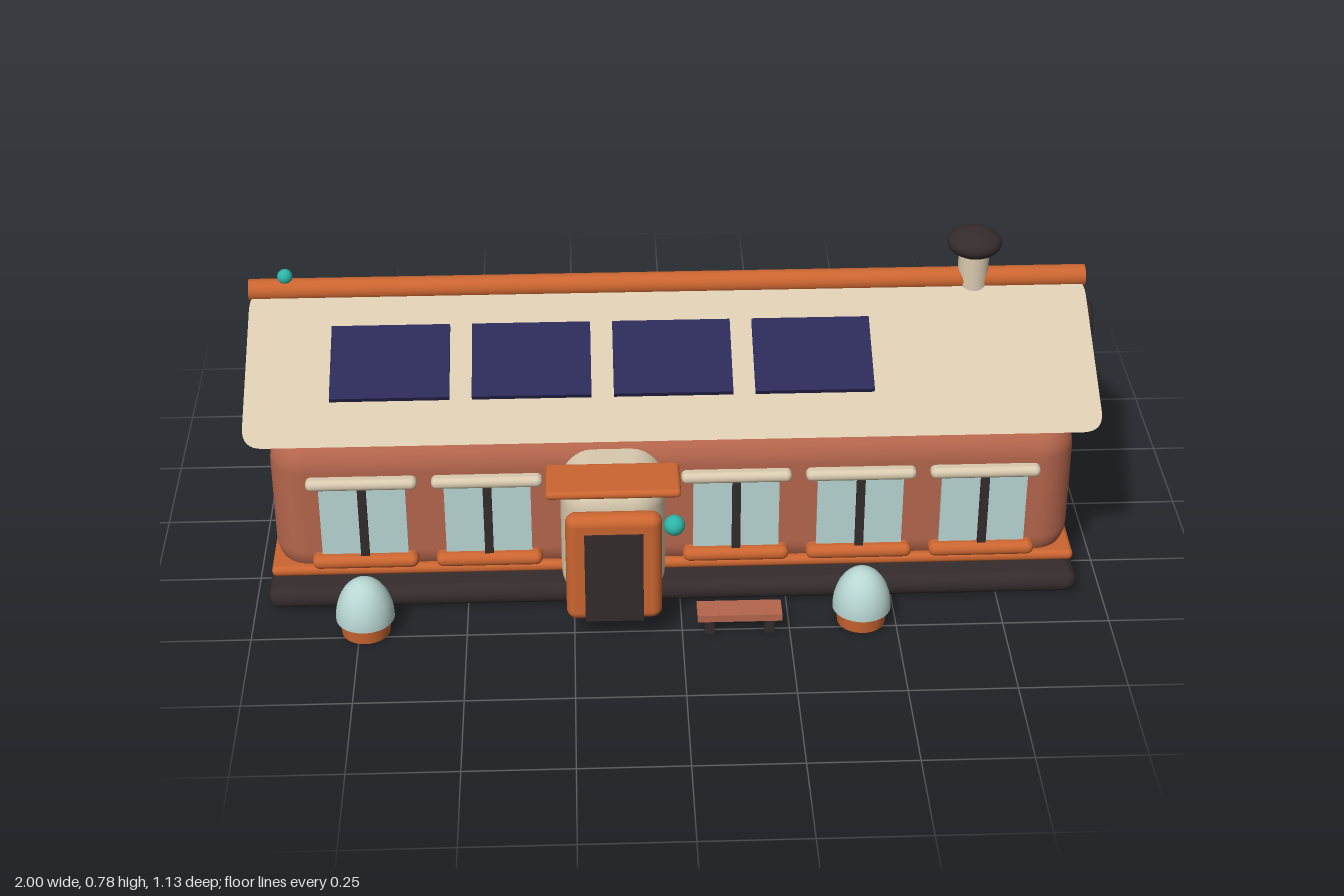
import * as THREE from 'three';
import { RoundedBoxGeometry } from 'three/addons/geometries/RoundedBoxGeometry.js';

const mat = (name, color) => {
  const m = new THREE.MeshStandardMaterial({ color });
  m.name = name;
  return m;
};

export function createModel() {
  const model = new THREE.Group();
  model.name = 'house';
  const clay = mat('terracotta', 0xb5664c);
  const cream = mat('cream', 0xd9caaf);
  const orange = mat('orange', 0xcb6530);
  const dark = mat('charcoal', 0x342b2c);
  const glass = mat('pale glass', 0xb8d6d2);
  const navy = mat('solar navy', 0x2b2a57);
  const teal = mat('teal', 0x2db5a6);
  const X0 = -0.013, Z0 = 0.008; // centre of the main building

  const add = (name, geo, material, x, y, z, parent = model) => {
    const m = new THREE.Mesh(geo, material);
    m.name = name;
    m.position.set(x, y, z);
    parent.add(m);
    return m;
  };
  const rbox = (w, h, d, r) => new RoundedBoxGeometry(w, h, d, 5, r);
  const cyl = (r, h, r2 = r) => new THREE.CylinderGeometry(r, r2, h, 32);
  const ball = (name, r, x, y, z) => add(name, new THREE.SphereGeometry(r, 20, 14), teal, x, y, z);
  const group = (name, x, y, z) => {
    const g = new THREE.Group();
    g.name = name;
    g.position.set(x, y, z);
    model.add(g);
    return g;
  };

  // Foundation, walls and trim
  add('foundation', rbox(1.91, 0.056, 0.766, 0.027), dark, X0, 0.033, Z0);
  add('walls', rbox(1.873, 0.385, 0.694, 0.085), clay, X0, 0.257, Z0);
  add('baseTrim', rbox(1.89, 0.026, 0.708, 0.012), orange, X0, 0.095, Z0);

  // Roof panels: rounded rectangles, sloped, with a level cut at the eaves
  const W = 0.985, S = 0.384, R = 0.05;
  const plan = new THREE.Shape();
  plan.moveTo(-W + R, 0);
  plan.lineTo(W - R, 0);
  plan.quadraticCurveTo(W, 0, W, R);
  plan.lineTo(W, S - R);
  plan.quadraticCurveTo(W, S, W - R, S);
  plan.lineTo(-W + R, S);
  plan.quadraticCurveTo(-W, S, -W, S - R);
  plan.lineTo(-W, R);
  plan.quadraticCurveTo(-W, 0, -W + R, 0);
  const roofGeo = new THREE.ExtrudeGeometry(plan, { depth: 1, bevelEnabled: false, curveSegments: 8 });
  const p = roofGeo.attributes.position;
  for (let i = 0; i < p.count; i++) {
    const s = p.getY(i), d = p.getZ(i), t = s / S;
    p.setXYZ(i, p.getX(i), 0.66 - 0.525 * s - d * 0.027 * (1 - t), s - d * 0.05 * t);
  }
  roofGeo.computeVertexNormals();
  add('frontRoof', roofGeo, cream, X0, 0, Z0);
  add('backRoof', roofGeo, cream, X0, 0, Z0).rotation.y = Math.PI;
  add('ridgePole', cyl(0.026, 1.974), orange, X0, 0.66, Z0).rotation.z = Math.PI / 2;
  ball('ridgeLamp', 0.018, -0.914, 0.694, Z0);

  // Solar panels
  for (let i = 0; i < 4; i++) {
    const s = add('solarPanel', new THREE.BoxGeometry(0.274, 0.013, 0.2), navy, -0.663 + i * 0.3253, 0.576, 0.217);
    s.rotation.x = 0.475;
  }

  // Chimney
  add('chimneyPipe', cyl(0.036, 0.13), cream, 0.708, 0.68, Z0);
  add('chimneyCap', new THREE.SphereGeometry(0.064, 32, 20), dark, 0.708, 0.754, Z0).scale.y = 0.53;

  // Gable vent
  add('ventRing', new THREE.TorusGeometry(0.039, 0.015, 14, 36), dark, 0.983, 0.536, Z0).rotation.y = Math.PI / 2;
  add('ventDisc', cyl(0.032, 0.026), cream, 0.983, 0.536, Z0).rotation.z = Math.PI / 2;

  // Windows with lintels and sills
  for (const x of [-0.735, -0.446, 0.131, 0.42, 0.709]) {
    const w = group('window', x, 0, 0);
    add('pane', new THREE.BoxGeometry(0.2, 0.185, 0.024), glass, 0, 0.237, 0.352, w);
    add('mullion', new THREE.BoxGeometry(0.02, 0.182, 0.03), dark, 0, 0.235, 0.359, w);
    add('lintel', rbox(0.256, 0.028, 0.05, 0.0135), cream, 0, 0.341, 0.355, w);
    add('sill', rbox(0.248, 0.034, 0.05, 0.0165), orange, 0, 0.131, 0.361, w);
  }

  // Entrance porch
  const porch = group('porch', -0.157, 0, 0);
  add('porchShell', rbox(0.24, 0.345, 0.248, 0.075), cream, 0, 0.236, 0.374, porch);
  add('doorFrame', rbox(0.22, 0.282, 0.05, 0.024), orange, 0, 0.201, 0.51, porch);
  add('door', new THREE.BoxGeometry(0.134, 0.236, 0.012), dark, 0, 0.182, 0.533, porch);
  add('canopy', rbox(0.304, 0.02, 0.127, 0.0095), orange, 0, 0.421, 0.4985, porch);
  ball('doorLamp', 0.024, -0.02, 0.328, 0.543);

  // Domed planters
  for (const x of [-0.735, 0.42]) {
    const g = group('planter', x, 0, 0.471);
    add('planterBase', cyl(0.06, 0.042, 0.056), orange, 0, 0.026, 0, g);
    const dome = new THREE.SphereGeometry(0.068, 28, 12, 0, Math.PI * 2, 0, Math.PI / 2);
    add('planterDome', dome, glass, 0, 0.046, 0, g).scale.y = 1.5;
    add('domeFloor', cyl(0.068, 0.004), glass, 0, 0.046, 0, g);
  }

  // Bench
  const bench = group('bench', 0.133, 0, 0.495);
  add('seat', new THREE.BoxGeometry(0.196, 0.018, 0.06), clay, 0, 0.053, 0, bench);
  for (const x of [-0.07, 0.07]) add('benchLeg', new THREE.BoxGeometry(0.022, 0.04, 0.045), dark, x, 0.025, 0, bench);

  // Water tank on three legs
  const tank = group('waterTank', 0.456, 0, -0.468);
  const profile = [new THREE.Vector2(0, 0.06)];
  for (const [cy, a0] of [[0.105, -Math.PI / 2], [0.282, 0]])
    for (let i = 0; i <= 8; i++) {
      const a = a0 + (i / 8) * Math.PI / 2;
      profile.push(new THREE.Vector2(0.043 + 0.045 * Math.cos(a), cy + 0.045 * Math.sin(a)));
    }
  profile.push(new THREE.Vector2(0, 0.327));
  add('tankBody', new THREE.LatheGeometry(profile, 36), cream, 0, 0, 0, tank);
  for (const y of [0.15, 0.248])
    add('tankHoop', new THREE.TorusGeometry(0.087, 0.01, 12, 40), orange, 0, y, 0, tank).rotation.x = Math.PI / 2;
  for (let i = 0; i < 3; i++) {
    const a = i * Math.PI * 2 / 3;
    add('tankLeg', cyl(0.012, 0.085), dark, 0.06 * Math.sin(a), 0.0475, 0.06 * Math.cos(a), tank);
  }
  add('tankPipe', cyl(0.011, 0.12), dark, 0, 0.22, 0.1, tank).rotation.x = Math.PI / 2;
  ball('tankLamp', 0.016, 0.456, 0.343, -0.468);

  // Air unit with round grille
  const unit = group('airUnit', -0.484, 0.092, -0.465);
  add('unitBody', rbox(0.2, 0.172, 0.164, 0.036), cream, 0, 0, 0, unit);
  add('grilleBack', cyl(0.055, 0.008), dark, 0, 0, -0.081, unit).rotation.x = Math.PI / 2;
  add('grilleRing', new THREE.TorusGeometry(0.053, 0.009, 12, 36), orange, 0, 0, -0.083, unit);
  for (let i = -2; i <= 2; i++) {
    const len = 2 * Math.sqrt(0.05 ** 2 - (i * 0.018) ** 2);
    add('grilleBar', new THREE.BoxGeometry(len, 0.006, 0.006), glass, 0, i * 0.018, -0.087, unit);
  }
  add('unitPipe', cyl(0.015, 0.12), dark, 0, 0.028, 0.1, unit).rotation.x = Math.PI / 2;
  ball('unitLamp', 0.012, -0.556, 0.152, -0.538);

  return model;
}
